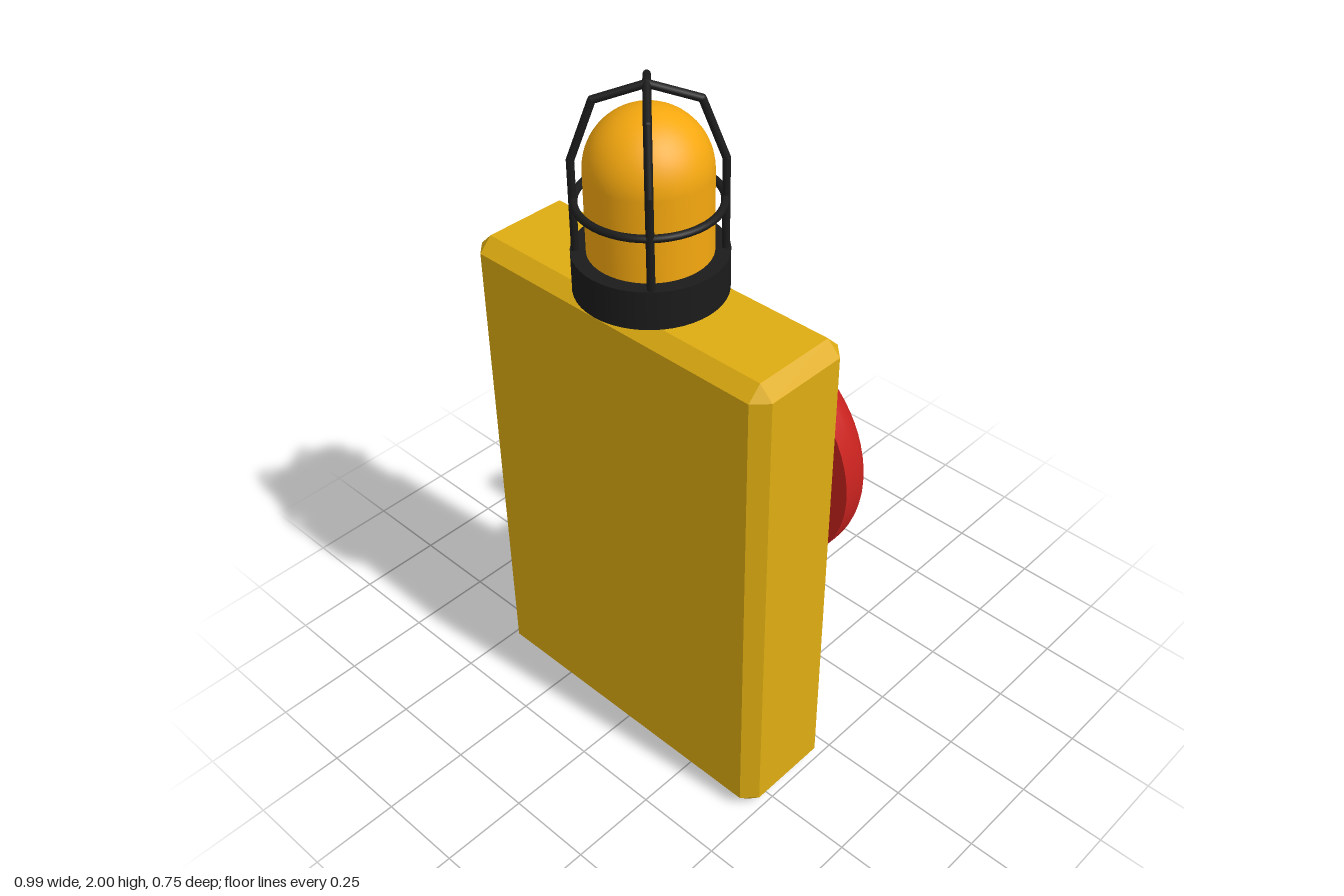
import * as THREE from 'three';
import { ConvexGeometry } from 'three/addons/geometries/ConvexGeometry.js';
import { toCreasedNormals } from 'three/addons/utils/BufferGeometryUtils.js';

const mat = (color) => new THREE.MeshStandardMaterial({ color });

export function createModel() {
  const model = new THREE.Group();
  const yellow = mat(0xdeac12), amber = mat(0xf5a80f), black = mat(0x1b1b1b);
  const red = mat(0xc8221e), grey = mat(0xcccccc);

  const add = (name, geometry, material, x, y, z, parent = model) => {
    const mesh = new THREE.Mesh(geometry, material);
    mesh.name = name;
    mesh.position.set(x, y, z);
    parent.add(mesh);
    return mesh;
  };

  // Cylinder lying along z between two depths
  const disc = (name, radius, z0, z1, material, x, y, sides = 48) =>
    add(name, new THREE.CylinderGeometry(radius, radius, z1 - z0, sides).rotateX(-Math.PI / 2),
      material, x, y, (z0 + z1) / 2);

  // Housing: box with every edge chamfered
  const half = [0.495, 0.7275, 0.157], c = 0.038, corners = [];
  for (const sx of [-1, 1]) for (const sy of [-1, 1]) for (const sz of [-1, 1])
    for (let full = 0; full < 3; full++) {
      const p = half.map((h, i) => (i === full ? h : h - c));
      corners.push(new THREE.Vector3(sx * p[0], sy * p[1], sz * p[2]));
    }
  add('housing', new ConvexGeometry(corners), yellow, 0, 0.7275, 0.182);

  // Back panel and corner screws
  add('panel', new THREE.BoxGeometry(0.8, 0.81, 0.024), black, 0, 0.753, 0.017);
  for (const x of [-0.42, 0.42]) for (const y of [0.11, 1.35])
    disc('screw', 0.023, 0.005, 0.03, grey, x, y, 16);

  // Push button: collar, stem and mushroom cap
  const by = 0.753;
  disc('buttonCollar', 0.21, -0.08, 0.008, black, 0, by);
  disc('buttonStem', 0.112, -0.175, -0.075, grey, 0, by);
  const profile = [new THREE.Vector2(0, 0), new THREE.Vector2(0.373, 0)];
  for (let i = 0; i <= 18; i++) {
    const a = (i / 18) * Math.PI / 2;
    profile.push(new THREE.Vector2(i === 18 ? 0 : 0.373 * Math.cos(a), 0.045 + 0.165 * Math.sin(a)));
  }
  const cap = toCreasedNormals(new THREE.LatheGeometry(profile, 64), 0.7);
  add('buttonCap', cap.rotateX(-Math.PI / 2), red, 0, by, -0.17);

  // Beacon lamp
  const beacon = new THREE.Group();
  beacon.name = 'beacon';
  beacon.position.set(0, 1.455, 0.182);
  model.add(beacon);
  add('beaconBase', new THREE.CylinderGeometry(0.193, 0.193, 0.105, 48), black, 0, 0.0525, 0, beacon);
  const lens = [new THREE.Vector2(0.155, 0.1)];
  for (let i = 0; i <= 14; i++) {
    const a = (i / 14) * Math.PI / 2;
    lens.push(new THREE.Vector2(i === 14 ? 0 : 0.155 * Math.cos(a), 0.32 + 0.155 * Math.sin(a)));
  }
  add('beaconLens', new THREE.LatheGeometry(lens, 48), amber, 0, 0, 0, beacon);

  // Cage: one hoop and four bent bars meeting over the lens
  const wire = 0.01;
  add('cageHoop', new THREE.TorusGeometry(0.178, wire, 10, 48).rotateX(Math.PI / 2), black, 0, 0.24, 0, beacon);
  const path = [[0.18, 0.09], [0.18, 0.345], [0.124, 0.497], [0, 0.535]];
  for (let k = 0; k < 4; k++) {
    const bar = new THREE.Group();
    bar.name = 'cageBar';
    bar.rotation.y = Math.PI / 4 + k * Math.PI / 2;
    beacon.add(bar);
    for (let i = 0; i < 3; i++) {
      const [x0, y0] = path[i], [x1, y1] = path[i + 1];
      const rod = new THREE.CylinderGeometry(wire, wire, Math.hypot(x1 - x0, y1 - y0), 10);
      add('cageRod', rod, black, (x0 + x1) / 2, (y0 + y1) / 2, 0, bar)
        .rotation.z = Math.atan2(x0 - x1, y1 - y0);
      add('cageJoint', new THREE.SphereGeometry(wire, 10, 8), black, x1, y1, 0, bar);
    }
  }
  return model;
}
